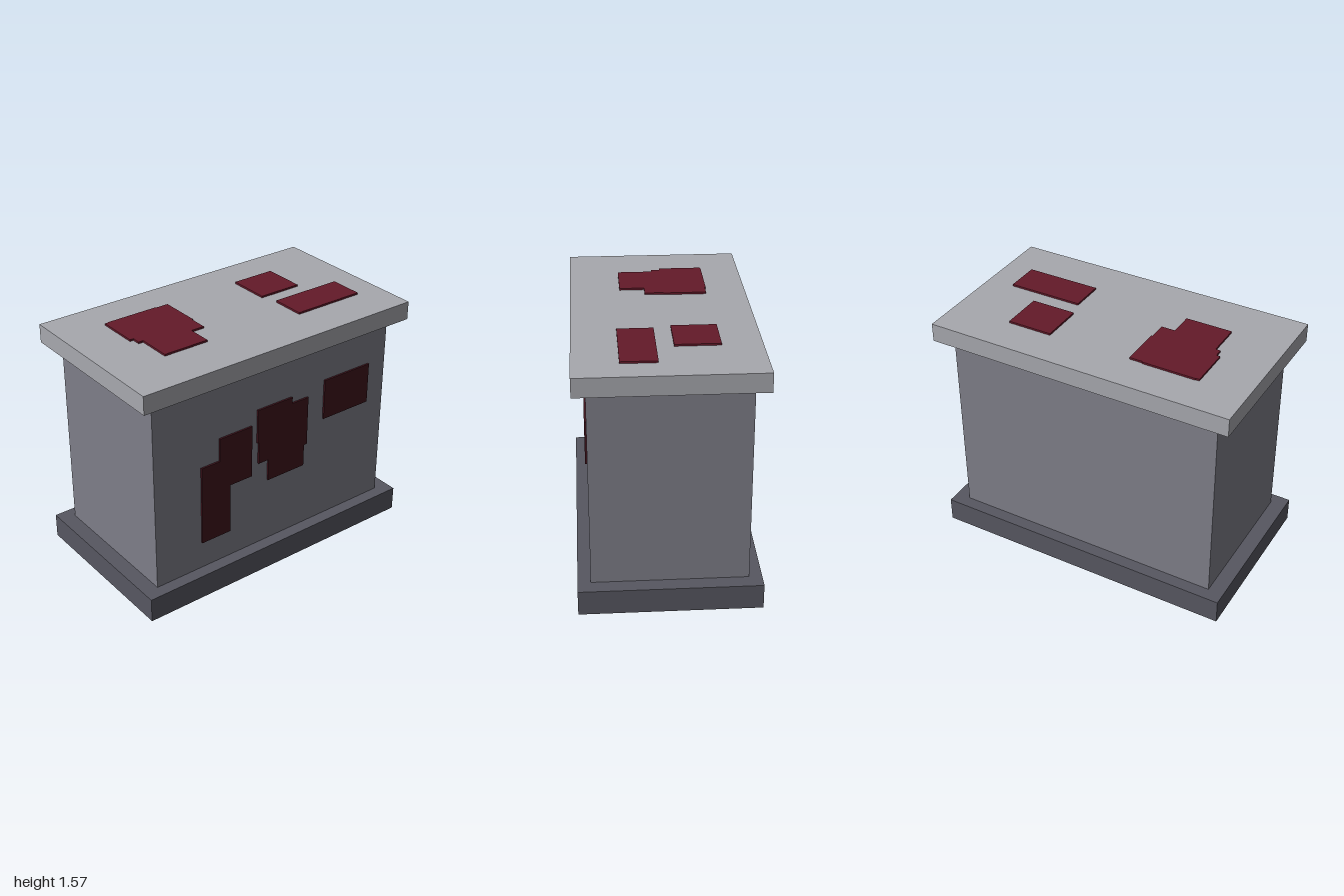
import * as THREE from 'three';

const material = (color) => new THREE.MeshStandardMaterial({ color });

export function createModel() {
  const model = new THREE.Group();
  model.name = 'stonePedestal';

  // Stacked blocks: name, width, depth, bottom, top, colour
  const blocks = [
    ['base', 2, 1.12, 0, 0.16, 0x575761],
    ['body', 1.8, 0.96, 0.16, 1.44, 0x7e7e88],
    ['topSlab', 2, 1.12, 1.44, 1.56, 0xa7a8ae],
  ];
  for (const [name, width, depth, bottom, top, color] of blocks) {
    const mesh = new THREE.Mesh(new THREE.BoxGeometry(width, top - bottom, depth), material(color));
    mesh.name = name;
    mesh.position.y = (bottom + top) / 2;
    model.add(mesh);
  }

  // Thin raised patch from a flat outline
  const patch = (name, outline, mat) => {
    const shape = new THREE.Shape(outline.map(([x, y]) => new THREE.Vector2(x, y)));
    const mesh = new THREE.Mesh(new THREE.ExtrudeGeometry(shape, { depth: 0.012, bevelEnabled: false }), mat);
    mesh.name = name;
    return mesh;
  };
  const rect = (x0, x1, y0, y1) => [[x0, y0], [x1, y0], [x1, y1], [x0, y1]];

  // Dark stains on the front of the body
  const frontStains = new THREE.Group();
  frontStains.name = 'frontStains';
  frontStains.position.z = 0.48;
  const dark = material(0x3f131c);
  frontStains.add(
    patch('frontStainRight', [
      [-0.565, 0.35], [-0.35, 0.35], [-0.35, 0.69], [-0.185, 0.69],
      [-0.185, 1.045], [-0.43, 1.045], [-0.43, 0.89], [-0.565, 0.89],
    ], dark),
    patch('frontStainMiddle', [
      [-0.055, 0.61], [0.232, 0.61], [0.232, 0.76], [0.255, 0.76], [0.255, 1.097], [0.127, 1.097],
      [0.127, 1.14], [-0.142, 1.14], [-0.142, 0.91], [-0.132, 0.91], [-0.132, 0.76], [-0.055, 0.76],
    ], dark),
    patch('frontStainLeft', rect(0.388, 0.757, 0.895, 1.17), dark),
  );

  // Red stains lying on the slab; outline y becomes -z
  const topStains = new THREE.Group();
  topStains.name = 'topStains';
  topStains.position.y = 1.56;
  topStains.rotation.x = -Math.PI / 2;
  const red = material(0x641a29);
  topStains.add(
    patch('topStainLarge', [
      [-0.636, -0.242], [-0.332, -0.242], [-0.332, -0.084], [-0.242, -0.084], [-0.242, 0.036],
      [-0.235, 0.036], [-0.235, 0.306], [-0.322, 0.306], [-0.322, 0.312], [-0.67, 0.312],
      [-0.67, 0.308], [-0.692, 0.308], [-0.692, 0.036], [-0.668, 0.036], [-0.668, -0.02], [-0.636, -0.02],
    ], red),
    patch('topStainBack', rect(0.305, 0.596, 0.04, 0.316), red),
    patch('topStainFront', rect(0.336, 0.82, -0.285, -0.064), red),
  );

  model.add(frontStains, topStains);
  return model;
}
